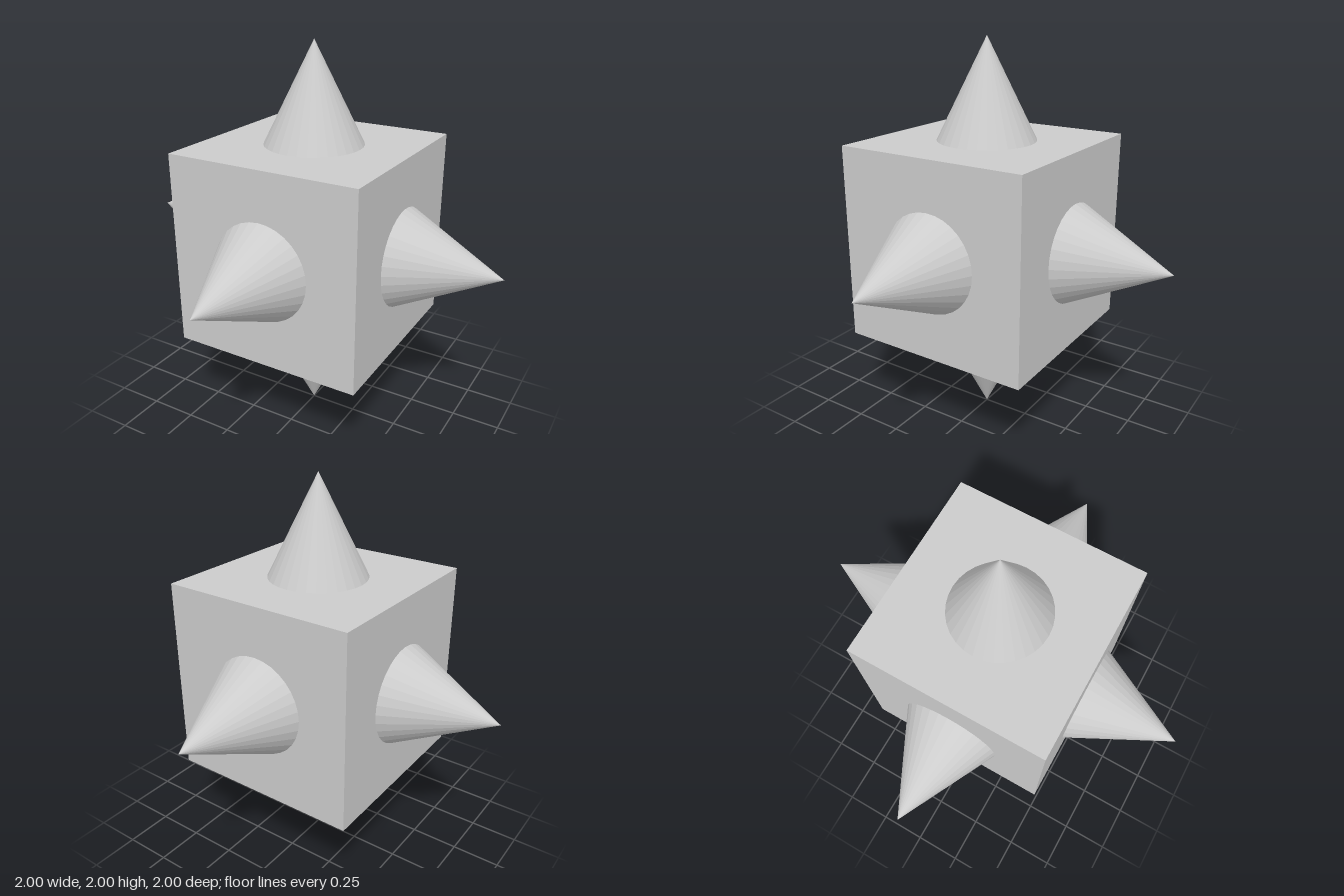
import * as THREE from 'three';

export function createModel() {
  const group = new THREE.Group();
  group.name = 'spikedCube';
  const material = new THREE.MeshStandardMaterial({ color: 0xcccccc, flatShading: true });

  // Central cube
  const cube = new THREE.Mesh(new THREE.BoxGeometry(1, 1, 1), material);
  cube.name = 'cube';
  cube.position.y = 1;
  group.add(cube);

  // One cone standing on the middle of each face
  const coneGeometry = new THREE.ConeGeometry(0.25, 0.5, 32);
  const up = new THREE.Vector3(0, 1, 0);
  const directions = {
    top: [0, 1, 0], bottom: [0, -1, 0],
    left: [1, 0, 0], right: [-1, 0, 0],
    front: [0, 0, 1], back: [0, 0, -1],
  };
  for (const [side, d] of Object.entries(directions)) {
    const direction = new THREE.Vector3(...d);
    const spike = new THREE.Mesh(coneGeometry, material);
    spike.name = side + 'Spike';
    spike.quaternion.setFromUnitVectors(up, direction);
    spike.position.copy(cube.position).addScaledVector(direction, 0.75);
    group.add(spike);
  }
  return group;
}
